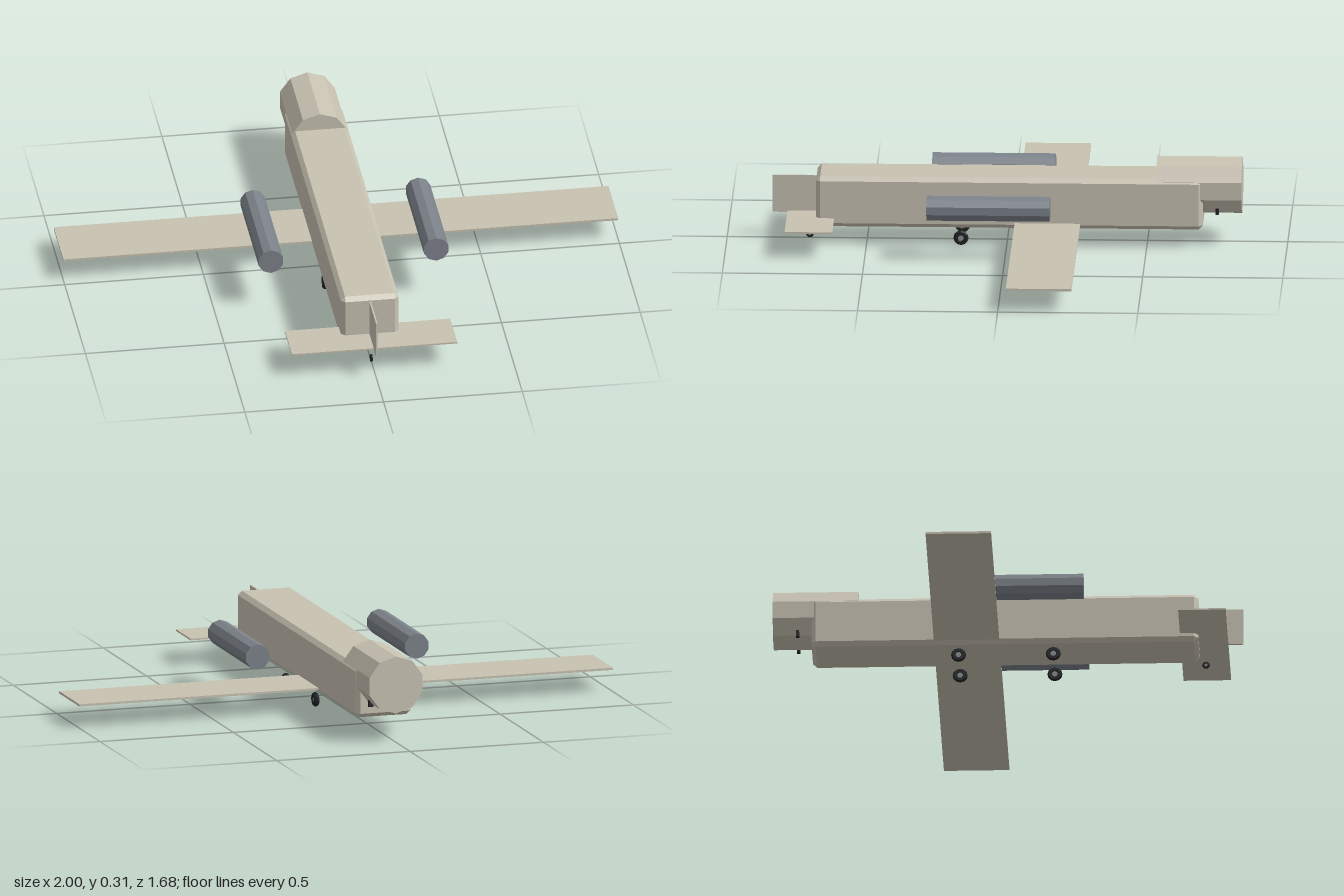
import * as THREE from 'three';
import { ConvexGeometry } from 'three/addons/geometries/ConvexGeometry.js';

const material = (name, color) => {
  const m = new THREE.MeshStandardMaterial({ color, flatShading: true });
  m.name = name;
  return m;
};

// Box with all twelve edges cut at 45 degrees
function chamferedBox(w, h, d, c) {
  const points = [];
  for (const x of [-1, 1]) for (const y of [-1, 1]) for (const z of [-1, 1]) {
    const px = x * w / 2, py = y * h / 2, pz = z * d / 2;
    points.push(
      new THREE.Vector3(px, py - y * c, pz - z * c),
      new THREE.Vector3(px - x * c, py, pz - z * c),
      new THREE.Vector3(px - x * c, py - y * c, pz));
  }
  return new ConvexGeometry(points);
}

// Ten-sided drum lying along z
const drum = (radius, length) => new THREE.CylinderGeometry(radius, radius, length, 10).rotateX(Math.PI / 2);

export function createModel() {
  const model = new THREE.Group();
  model.name = 'aircraft';
  const hull = material('warm grey', 0xc8c2b2);
  const steel = material('steel grey', 0x7c828a);
  const rubber = material('black rubber', 0x1f2224);
  const hubGrey = material('hub grey', 0x8a918f);

  const add = (name, geometry, mat, x, y, z, parent = model) => {
    const mesh = new THREE.Mesh(geometry, mat);
    mesh.name = name;
    mesh.position.set(x, y, z);
    parent.add(mesh);
    return mesh;
  };

  // Body and the raised drum at its rear end
  add('fuselage', chamferedBox(0.208, 0.184, 1.38, 0.015), hull, 0, 0.16, -0.01);
  add('endDrum', drum(0.104, 0.304), hull, 0, 0.211, -0.686);

  // Thin flying surfaces
  add('wing', new THREE.BoxGeometry(2, 0.008, 0.234), hull, 0, 0.085, -0.146);
  add('tailplane', new THREE.BoxGeometry(0.596, 0.006, 0.17), hull, 0, 0.098, 0.7);
  add('fin', new THREE.BoxGeometry(0.006, 0.136, 0.17), hull, 0, 0.164, 0.753);

  // Wheel turning about the x axis
  const addWheel = (name, radius, x, z) => {
    const wheel = new THREE.Group();
    wheel.name = name;
    wheel.position.set(x, radius + 0.002, z);
    const tube = radius * 0.36;
    add('tyre', new THREE.TorusGeometry(radius - tube, tube, 6, 12).rotateY(Math.PI / 2), rubber, 0, 0, 0, wheel);
    add('hub', new THREE.CylinderGeometry(radius * 0.42, radius * 0.42, tube, 8).rotateZ(Math.PI / 2), hubGrey, 0, 0, 0, wheel);
    model.add(wheel);
  };

  // Paired parts
  for (const [side, s] of [['left', 1], ['right', -1]]) {
    add(side + 'EnginePod', drum(0.046, 0.44), steel, s * 0.298, 0.194, 0.058);
    add(side + 'DrumFitting', new THREE.BoxGeometry(0.018, 0.024, 0.012), rubber, s * 0.066, 0.13, -0.75);
    addWheel(side + 'FrontWheel', 0.027, s * 0.087, 0.163);
    addWheel(side + 'RearWheel', 0.027, s * 0.087, -0.175);
  }
  addWheel('tailWheel', 0.014, 0, 0.705);

  return model;
}
